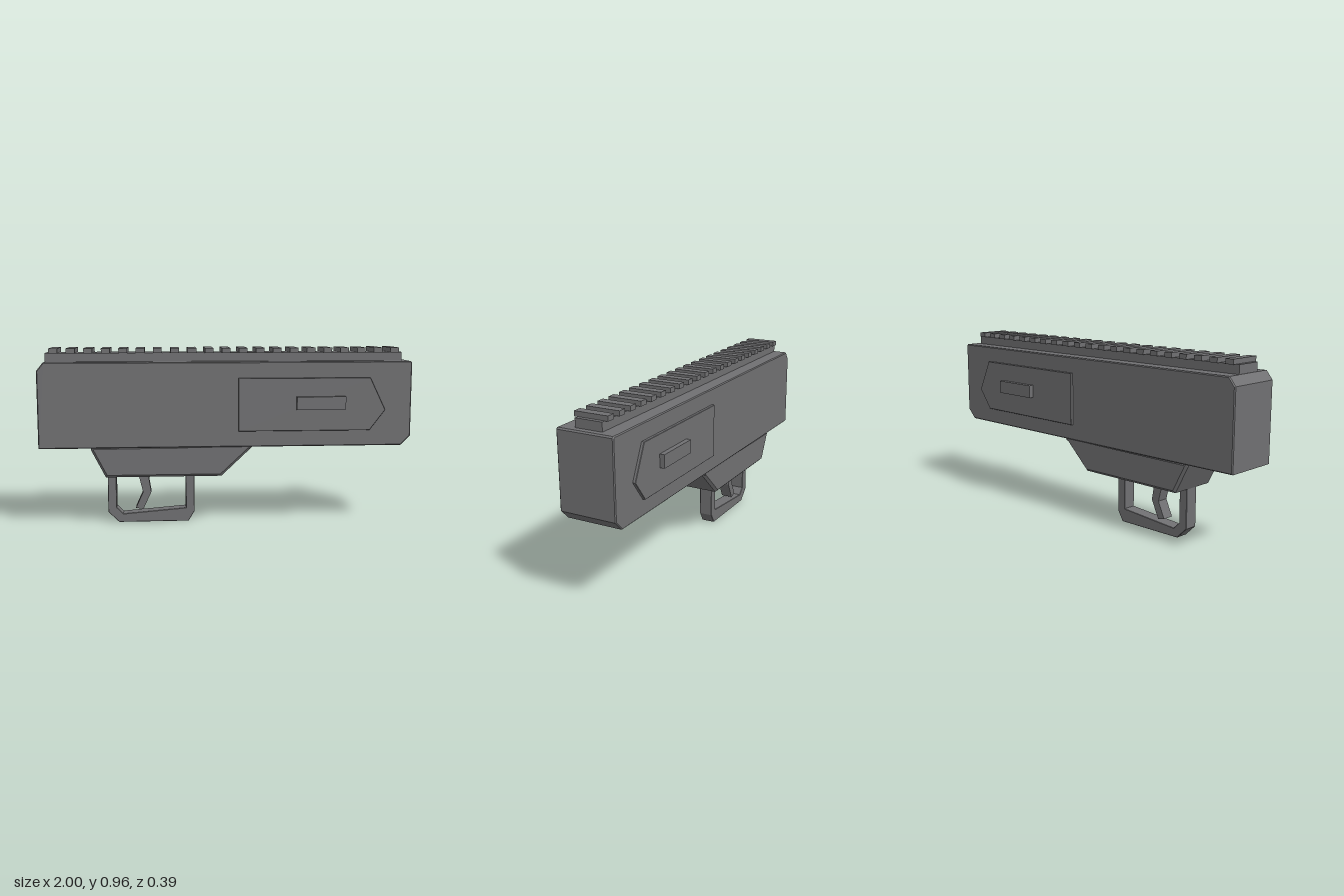
import * as THREE from 'three';

const metal = new THREE.MeshStandardMaterial({ color: 0x707072 });
metal.name = 'gunmetal grey';

// Side outline extruded across z, centred, with bevels kept inside the outline
function plate(name, points, halfWidth, bevel = 0, z = 0) {
  const shape = new THREE.Shape(points.map(([x, y]) => new THREE.Vector2(x, y)));
  const geo = new THREE.ExtrudeGeometry(shape, {
    depth: 2 * (halfWidth - bevel),
    bevelEnabled: bevel > 0,
    bevelThickness: bevel,
    bevelSize: bevel,
    bevelOffset: -bevel,
    bevelSegments: 1,
  });
  geo.translate(0, 0, z - halfWidth + bevel);
  const mesh = new THREE.Mesh(geo, metal);
  mesh.name = name;
  return mesh;
}

function box(name, w, h, d, x, y, z) {
  const mesh = new THREE.Mesh(new THREE.BoxGeometry(w, h, d), metal);
  mesh.name = name;
  mesh.position.set(x, y, z);
  return mesh;
}

export function createModel() {
  const model = new THREE.Group();
  model.name = 'receiver';

  // Long body with clipped corners
  model.add(plate('body', [
    [-1, 0.43], [0.948, 0.43], [1, 0.482], [1, 0.878], [0.993, 0.886],
    [-0.965, 0.886], [-1, 0.842],
  ], 0.153, 0.005));

  // Tapered housing under the body
  model.add(plate('lowerHousing', [
    [-0.65, 0.27], [-0.03, 0.27], [0.135, 0.425], [0.135, 0.432], [-0.727, 0.432], [-0.727, 0.42],
  ], 0.145, 0.013));

  // Guard loop, open at the top where it meets the housing
  model.add(plate('guard', [
    [-0.647, 0.275], [-0.647, 0.058], [-0.588, 0], [-0.205, 0], [-0.172, 0.055], [-0.172, 0.275],
    [-0.22, 0.275], [-0.22, 0.074], [-0.565, 0.046], [-0.6, 0.082], [-0.6, 0.275],
  ], 0.038, 0.002));

  // Bent trigger
  model.add(plate('trigger', [
    [-0.482, 0.275], [-0.455, 0.165], [-0.495, 0.077], [-0.455, 0.069], [-0.41, 0.165], [-0.428, 0.275],
  ], 0.032));

  // Pointed panel and grip bar on both sides
  for (const side of [1, -1]) {
    const name = side > 0 ? 'front' : 'back';
    model.add(plate(name + 'Panel', [
      [0.06, 0.516], [0.77, 0.516], [0.854, 0.626], [0.77, 0.8], [0.06, 0.8],
    ], 0.01, 0.002, side * 0.158));
    model.add(box(name + 'GripBar', 0.264, 0.07, 0.034, 0.502, 0.666, side * 0.177));
  }

  // Top rail with evenly spaced slats
  const rail = new THREE.Group();
  rail.name = 'topRail';
  rail.add(box('railBase', 1.926, 0.05, 0.146, 0, 0.907, 0));
  for (let i = 0; i < 21; i++) {
    rail.add(box('railSlat', 0.046, 0.026, 0.182, (i - 10) * 0.0919, 0.944, 0));
  }
  model.add(rail);

  return model;
}
